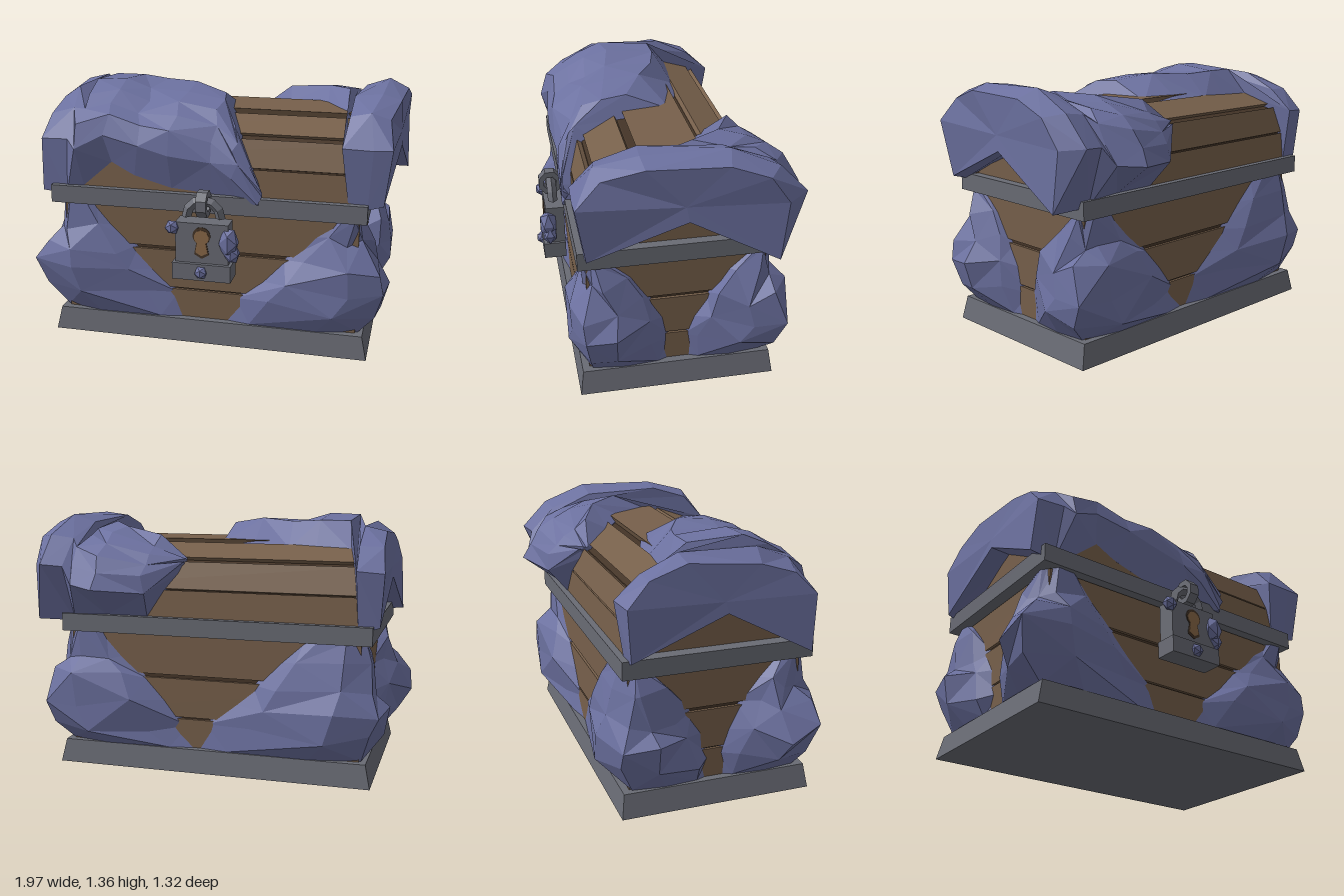
import * as THREE from 'three';

const paint = (name, color) => {
  const m = new THREE.MeshStandardMaterial({ color, flatShading: true });
  m.name = name;
  return m;
};

export function createModel() {
  const stone = paint('blue stone', 0x6c71a0);
  const wood = paint('wood', 0x77604b);
  const groove = paint('groove brown', 0x453528);
  const iron = paint('iron', 0x696b74);
  const brass = paint('keyhole brown', 0x8a6848);

  const model = new THREE.Group();
  model.name = 'rockyChest';
  const chest = new THREE.Group();
  chest.name = 'chest';
  chest.position.set(-0.03, 0, 0.03);
  model.add(chest);

  const add = (parent, name, geo, mat, x = 0, y = 0, z = 0) => {
    const m = new THREE.Mesh(geo, mat);
    m.name = name;
    m.position.set(x, y, z);
    parent.add(m);
    return m;
  };
  const box = (parent, name, mat, w, h, d, x, y, z) =>
    add(parent, name, new THREE.BoxGeometry(w, h, d), mat, x, y, z);

  let seed = 7;
  const rand = () => (seed = (seed * 16807) % 2147483647) / 2147483647;
  const jitter = (a) => (rand() - 0.5) * a;
  const mix = THREE.MathUtils.lerp;

  // Closed faceted solid through equal-length rings, capped with fans
  const loft = (rings) => {
    const tris = [];
    const n = rings[0].length;
    for (let i = 0; i < rings.length - 1; i++) {
      for (let j = 0; j < n; j++) {
        const k = (j + 1) % n;
        const a = rings[i][j], b = rings[i][k], c = rings[i + 1][k], d = rings[i + 1][j];
        if ((i + j) % 2) tris.push([a, b, c], [a, c, d]);
        else tris.push([a, b, d], [b, c, d]);
      }
    }
    const cap = (ring, flip) => {
      const mid = new THREE.Vector3();
      ring.forEach((p) => mid.addScaledVector(p, 1 / n));
      ring.forEach((p, j) => {
        const q = ring[(j + 1) % n];
        tris.push(flip ? [mid, q, p] : [mid, p, q]);
      });
    };
    cap(rings[0], true);
    cap(rings[rings.length - 1], false);
    // turn the solid the right way out
    const volume = tris.reduce((s, [a, b, c]) => s + a.dot(b.clone().cross(c)), 0);
    if (volume < 0) tris.forEach((t) => t.reverse());
    const g = new THREE.BufferGeometry().setFromPoints(tris.flat());
    g.computeVertexNormals();
    return g;
  };

  // Flared iron base and the rim between body and lid
  const base = new THREE.BoxGeometry(1.715, 0.125, 1.02);
  const bp = base.attributes.position;
  for (let i = 0; i < bp.count; i++) {
    if (bp.getY(i) > 0) bp.setXYZ(i, bp.getX(i) * 0.968, bp.getY(i), bp.getZ(i) * 0.965);
  }
  base.computeVertexNormals();
  add(chest, 'base', base, iron, 0, 0.0625, 0);
  box(chest, 'rim', iron, 1.68, 0.095, 1, -0.01, 0.7875, 0);

  // Plank body around a dark core
  box(chest, 'bodyCore', groove, 1.55, 0.62, 0.88, 0, 0.43, 0);
  [[0.12, 0.28], [0.29, 0.5], [0.52, 0.735]].forEach(([lo, hi]) =>
    box(chest, 'bodyPlank', wood, 1.58, hi - lo, 0.91, 0, (lo + hi) / 2, 0));

  // Barrel lid: plank sections in (z, y) run along x
  const alongX = (pts, len) => {
    const s = new THREE.Shape(pts.map(([z, y]) => new THREE.Vector2(-z, y)));
    const g = new THREE.ExtrudeGeometry(s, { depth: len, bevelEnabled: false });
    return g.translate(0, 0, -len / 2).rotateY(Math.PI / 2);
  };
  const half = [[0.44, 0.82], [0.435, 0.98], [0.385, 1.115], [0.18, 1.19]];
  const coreProfile = [...half, ...half.map(([z, y]) => [-z, y]).reverse()];
  add(chest, 'lidCore', alongX(coreProfile, 1.56), [wood, groove]);
  const plank = (z1, y1, z2, y2) => {
    const inward = (z, y) => [z * 0.88, 0.8 + (y - 0.8) * 0.9];
    add(chest, 'lidPlank', alongX([[z1, y1], [z2, y2], inward(z2, y2), inward(z1, y1)], 1.6), wood);
  };
  plank(0.155, 1.225, -0.155, 1.225);
  [1, -1].forEach((s) => {
    plank(s * 0.465, 0.83, s * 0.457, 0.977);
    plank(s * 0.455, 0.985, s * 0.41, 1.125);
    plank(s * 0.375, 1.145, s * 0.2, 1.21);
  });

  // Rocks wrapped round the body corners: wide at the foot, bulging, narrow at the rim
  const swell = [0.1, 0.7, 1, 0.65, 0.3, 0];
  const cornerRock = (name, sx, sz, wallLo, wallHi, endLo, endHi, reach, bulge) => {
    const rings = swell.map((s, r) => {
      const u = r / (swell.length - 1);
      const y = mix(0.125, 0.75, u);
      const wall = mix(wallLo, wallHi, u ** 1.1);
      const end = mix(endLo, endHi, u * u);
      const ox = mix(0.81, reach, s);
      const oz = 0.48 + bulge * s;
      const rough = s > 0.1 ? 0.055 : 0;
      return [
        [wall, 0.44], [mix(wall, ox, 0.25), mix(0.47, oz, 0.5)], [mix(wall, ox, 0.7), oz],
        [ox - 0.02, oz * 0.9], [ox, mix(end, oz, 0.55)], [mix(0.8, ox, 0.4), mix(end, oz, 0.2)],
        [0.77, end], [0.65, 0.3],
      ].map(([x, z], j) => {
        const k = j === 0 || j > 5 ? rough * 0.3 : rough;
        return new THREE.Vector3(sx * (x + jitter(k)), y + jitter(k * 1.6), sz * (z + jitter(k * 1.3)));
      });
    });
    add(chest, name, loft(rings), stone);
  };
  cornerRock('frontLeftRock', 1, 1, 0.03, 0.68, 0, 0.34, 0.96, 0.06);
  cornerRock('frontRightRock', -1, 1, 0.07, 0.62, 0, 0.33, 0.96, 0.07);
  cornerRock('backLeftRock', 1, -1, 0.03, 0.6, 0.02, 0.38, 0.93, 0.13);
  cornerRock('backRightRock', -1, -1, -0.15, 0.5, 0, 0.35, 0.92, 0.11);

  // Rocks draped over the lid: each slice follows the lid arc
  // slice: x, arc start and end (0 front, 1 back), thickness, extra bulge at the back
  const pow = (v) => Math.sign(v) * Math.abs(v) ** (2 / 3);
  const lidRock = (name, lean, slices) => {
    const steps = 7;
    const rings = slices.map(([x, t0, t1, thick, back = 0]) => {
      const ring = [];
      for (let j = 0; j <= steps; j++) {
        const t = mix(t0, t1, j / steps) * Math.PI;
        const c = pow(Math.cos(t));
        const edge = j === 0 || j === steps;
        const h = edge ? -0.02 : thick + jitter(0.05);
        const push = !edge && c < 0 ? back * c * c : 0;
        ring.push(new THREE.Vector3(x - lean * c + jitter(0.045),
          0.83 + (0.395 + h) * pow(Math.sin(t)), 0.03 + (0.475 + h * 0.6) * c - push));
      }
      const m = ((t0 + t1) / 2) * Math.PI;
      ring.push(new THREE.Vector3(x, 0.83 + 0.2 * pow(Math.sin(m)), 0.03 + 0.3 * pow(Math.cos(m))));
      return ring;
    });
    add(model, name, loft(rings), stone);
  };
  lidRock('lidFrontRock', 0, [
    [0.25, -0.01, 0.035, 0.06], [0.13, -0.005, 0.28, 0.08], [0, 0, 0.54, 0.07],
    [-0.2, 0.004, 0.58, 0.12], [-0.4, 0.03, 0.6, 0.1], [-0.56, 0.07, 0.61, 0.13],
    [-0.71, 0, 0.62, 0.11], [-0.79, -0.015, 1.01, 0.1], [-0.92, -0.01, 1, 0.06],
  ]);
  lidRock('lidBackRock', 0.04, [
    [0.1, 0.75, 0.83, 0.03], [0.26, 0.61, 1, 0.06, 0.08], [0.5, 0.52, 1, 0.06, 0.18],
    [0.65, 0.44, 1.01, 0.08, 0.1], [0.72, 0, 1.01, 0.1, 0.09], [0.84, -0.005, 1.01, 0.13, 0.11],
    [0.93, 0, 1.01, 0.1, 0],
  ]);

  // Padlock hanging from the rim
  const lock = new THREE.Group();
  lock.name = 'padlock';
  lock.position.set(-0.025, 0, 0);
  model.add(lock);
  box(lock, 'lockBody', iron, 0.28, 0.23, 0.1, 0, 0.6, 0.575);
  box(lock, 'lockFoot', iron, 0.31, 0.09, 0.12, 0, 0.455, 0.585);
  add(lock, 'shackle', new THREE.TorusGeometry(0.09, 0.026, 4, 6, Math.PI), iron, 0, 0.735, 0.58);
  const octagon = (r) => Array.from({ length: 8 }, (_, i) => {
    const a = ((i + 0.5) * Math.PI) / 4;
    return new THREE.Vector2(Math.cos(a) * r, Math.sin(a) * r * 1.1);
  });
  const ring = new THREE.Shape(octagon(0.065));
  ring.holes.push(new THREE.Path(octagon(0.036).reverse()));
  const staple = new THREE.ExtrudeGeometry(ring, { depth: 0.055, bevelEnabled: false });
  staple.translate(0, 0, -0.0275).rotateY(Math.PI / 2);
  add(lock, 'staple', staple, iron, 0, 0.81, 0.585);

  // Keyhole plate with a dark outline
  const keyhole = (name, mat, s, z) => {
    const k = new THREE.Shape();
    k.absarc(0, 0.035, 0.042, -Math.PI * 0.3, Math.PI * 1.3, false);
    k.lineTo(-0.035, -0.055);
    k.lineTo(0, -0.075);
    k.lineTo(0.035, -0.055);
    const g = new THREE.ExtrudeGeometry(k, { depth: 0.004, bevelEnabled: false, curveSegments: 8 });
    add(lock, name, g.scale(s, s, 1), mat, 0, 0.61, z);
  };
  keyhole('keyholeOutline', groove, 1.12, 0.624);
  keyhole('keyhole', brass, 0.92, 0.627);

  // Stone chips stuck to the lock: position, width, height
  [[-0.155, 0.685, 0.625, 0.04, 0.04], [0.14, 0.62, 0.615, 0.055, 0.085],
    [0.155, 0.56, 0.61, 0.045, 0.055], [0, 0.455, 0.645, 0.036, 0.036]]
    .forEach(([x, y, z, w, h]) => {
      const chip = add(lock, 'stoneChip', new THREE.IcosahedronGeometry(1, 0), stone, x, y, z);
      chip.scale.set(w, h, w * 0.9);
    });

  return model;
}
